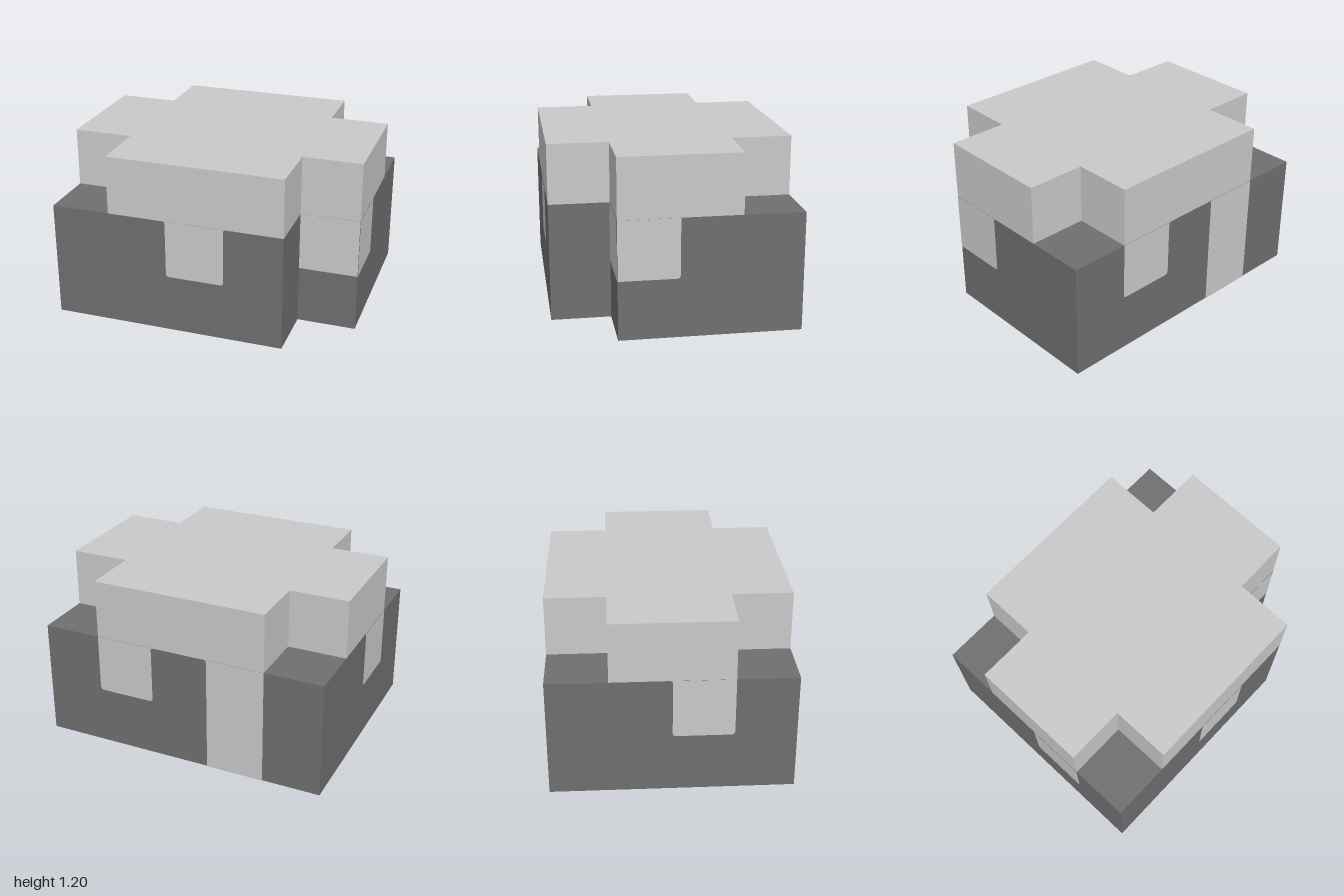
import * as THREE from 'three';

const CELL = 0.4;
const LIFT = 0.002; // how far painted patches stand off the walls

export function createModel() {
  const group = new THREE.Group();
  const lightGrey = new THREE.MeshStandardMaterial({ color: 0xc9c9c9 });
  lightGrey.name = 'light grey';
  const darkGrey = new THREE.MeshStandardMaterial({ color: 0x6f6f6f });
  darkGrey.name = 'dark grey';

  // Upright block from a footprint of [x, z] corners
  const addBlock = (name, material, bottom, top, corners) => {
    const shape = new THREE.Shape(corners.map(([x, z]) => new THREE.Vector2(x, -z)));
    const geometry = new THREE.ExtrudeGeometry(shape, { depth: top - bottom, bevelEnabled: false });
    geometry.rotateX(-Math.PI / 2).translate(0, bottom, 0);
    const mesh = new THREE.Mesh(geometry, material);
    mesh.name = name;
    group.add(mesh);
  };

  // Base: rectangle with the front left corner cut out
  addBlock('base', darkGrey, LIFT, 0.8, [
    [-1, 0.8], [0.6, 0.8], [0.6, 0.4], [1, 0.4], [1, -0.8], [-1, -0.8],
  ]);

  // Top: cross with all four corners cut out
  addBlock('topCross', lightGrey, 0.8, 1.2, [
    [-0.6, 0.8], [0.6, 0.8], [0.6, 0.4], [1, 0.4], [1, -0.4], [0.6, -0.4],
    [0.6, -0.8], [-0.6, -0.8], [-0.6, -0.4], [-1, -0.4], [-1, 0.4], [-0.6, 0.4],
  ]);

  // Light patch hanging down from its origin; flare widens its top corners,
  // round softens its bottom corners ('L', 'R' or 'LR')
  const addDrip = (name, length, position, rotation, flare = '', round = '') => {
    const w = CELL / 2;
    const f = (side) => (flare.includes(side) ? 0.015 : 0);
    const r = (side) => (round.includes(side) ? 0.025 : 0);
    const shape = new THREE.Shape();
    shape.moveTo(-w - f('L'), 0);
    if (f('L')) shape.quadraticCurveTo(-w, 0, -w, -f('L'));
    shape.lineTo(-w, -length + r('L'));
    if (r('L')) shape.quadraticCurveTo(-w, -length, -w + r('L'), -length);
    shape.lineTo(w - r('R'), -length);
    if (r('R')) shape.quadraticCurveTo(w, -length, w, -length + r('R'));
    shape.lineTo(w, -f('R'));
    if (f('R')) shape.quadraticCurveTo(w, 0, w + f('R'), 0);
    const mesh = new THREE.Mesh(new THREE.ShapeGeometry(shape, 4), lightGrey);
    mesh.name = name;
    mesh.position.set(...position);
    mesh.rotation.set(...rotation);
    group.add(mesh);
  };

  const front = [0, 0, 0];
  const back = [0, Math.PI, 0];
  const left = [0, Math.PI / 2, 0];
  const right = [0, -Math.PI / 2, 0];
  const under = [Math.PI / 2, 0, Math.PI];

  addDrip('frontDrip', CELL, [0, 0.8, 0.8 + LIFT], front, 'LR', 'LR');
  addDrip('notchDrip', CELL, [0.8, 0.8, 0.4 + LIFT], front);
  addDrip('leftDrip', CELL, [1 + LIFT, 0.8, 0.2], left, 'R', 'R');
  addDrip('rightDrip', CELL, [-1 - LIFT, 0.8, 0.2], right, 'L', 'LR');
  addDrip('backShortDrip', CELL, [0.4, 0.8, -0.8 - LIFT], back, 'R', 'LR');
  addDrip('backLongDrip', 2 * CELL, [-0.4, 0.8, -0.8 - LIFT], back, 'L');
  addDrip('undersideDrip', CELL, [-0.4, 0, -0.8], under, '', 'LR');

  return group;
}
